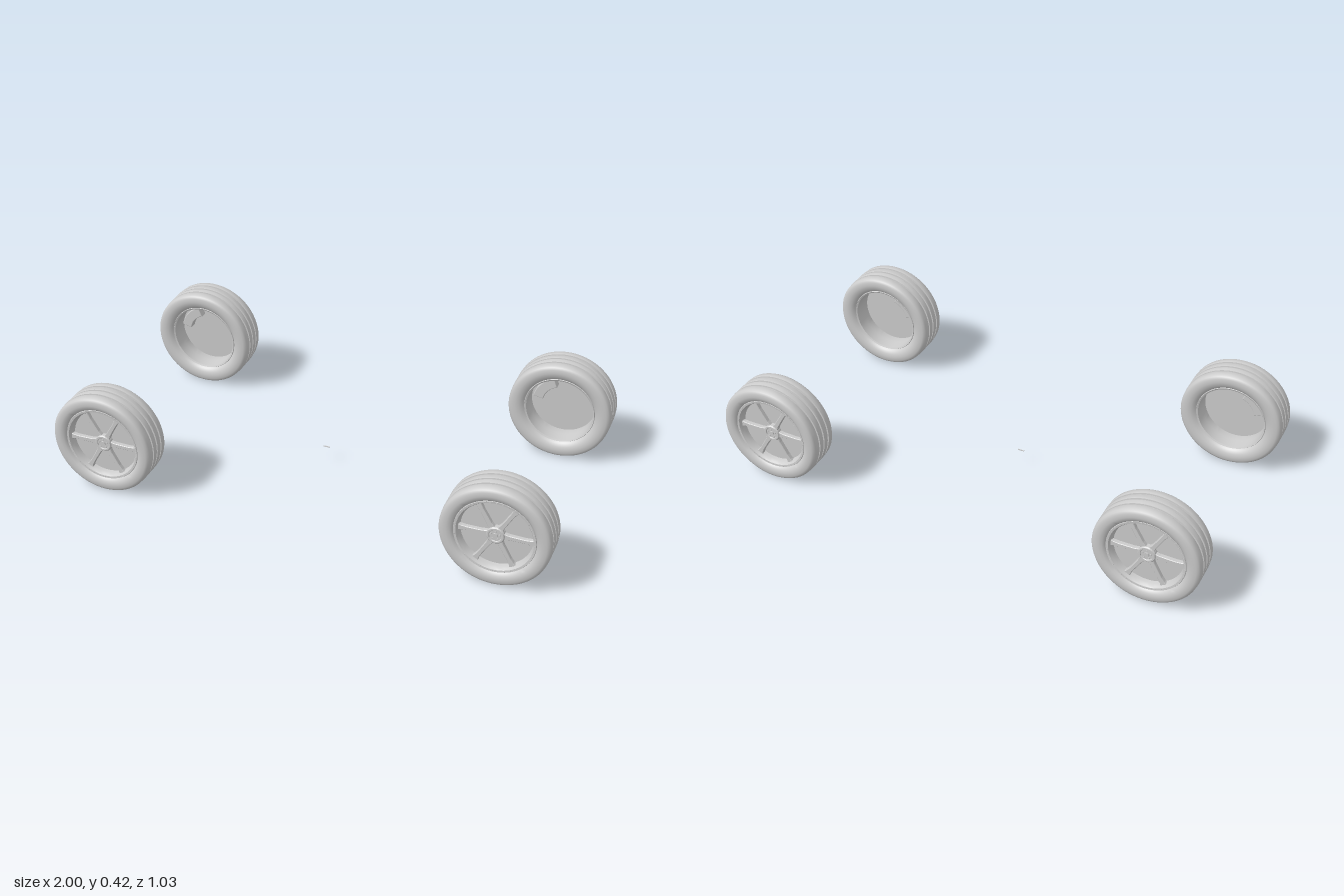
import * as THREE from 'three';
import { toCreasedNormals } from 'three/addons/utils/BufferGeometryUtils.js';

const material = new THREE.MeshStandardMaterial({ color: 0xcccccc });
const RADIUS = 0.21;

function part(name, geometry, parent) {
  const mesh = new THREE.Mesh(geometry, material);
  mesh.name = name;
  parent.add(mesh);
  return mesh;
}

// Revolve a [radius, z] profile round the wheel's z axis
function ring(points, crease = 0.6) {
  const lathe = new THREE.LatheGeometry(points.map(([r, z]) => new THREE.Vector2(r, z)), 80);
  lathe.rotateX(Math.PI / 2);
  return toCreasedNormals(lathe, crease);
}

function disc(radius, depth, segments = 48) {
  return new THREE.CylinderGeometry(radius, radius, depth, segments).rotateX(Math.PI / 2);
}

function tyreGeometry() {
  const profile = [[0.142, -0.05], [0.15, -0.061], [0.163, -0.069], [0.178, -0.072], [0.194, -0.071], [0.203, -0.067], [0.208, -0.06]];
  // Tread with three grooves
  for (const z of [-0.031, 0, 0.031]) {
    profile.push([RADIUS, z - 0.008], [0.2085, z - 0.004], [0.203, z - 0.003], [0.203, z + 0.003], [0.2085, z + 0.004], [RADIUS, z + 0.008]);
  }
  profile.push([0.208, 0.06], [0.203, 0.067], [0.194, 0.071], [0.178, 0.072], [0.165, 0.069], [0.156, 0.062], [0.152, 0.05], [0.142, 0.045], [0.142, -0.05]);
  return ring(profile);
}

// Slender spoke lying along +x, wider at both ends
function spokeGeometry() {
  const half = [[0.025, 0.012], [0.05, 0.007], [0.11, 0.006], [0.13, 0.008], [0.146, 0.013]];
  const outline = [...half, ...half.map(([x, y]) => [x, -y]).reverse()];
  const shape = new THREE.Shape(outline.map(([x, y]) => new THREE.Vector2(x, y)));
  return new THREE.ExtrudeGeometry(shape, { depth: 0.014, bevelEnabled: true, bevelSize: 0.002, bevelThickness: 0.002, bevelSegments: 1 });
}

// Curved caliper block, centred on +x
function caliperGeometry() {
  const a = 0.5;
  const shape = new THREE.Shape();
  shape.absarc(0, 0, 0.12, -a, a, false);
  shape.absarc(0, 0, 0.084, a, -a, true);
  return new THREE.ExtrudeGeometry(shape, { depth: 0.03, bevelEnabled: true, bevelSize: 0.003, bevelThickness: 0.003, bevelSegments: 2 });
}

const tyre = tyreGeometry();
const barrel = ring([[0.137, -0.054], [0.143, -0.057], [0.146, -0.052], [0.146, 0.05], [0.155, 0.057], [0.153, 0.061], [0.145, 0.06], [0.141, 0.054], [0.138, 0.04], [0.133, 0.02], [0.135, -0.01], [0.137, -0.054]]);
const spoke = spokeGeometry();
const caliper = caliperGeometry();

// Wheel with its outer face towards +z
function createWheel(caliperAngle) {
  const wheel = new THREE.Group();
  part('tyre', tyre, wheel);
  part('rim', barrel, wheel);
  part('brakeDisc', disc(0.137, 0.008, 64), wheel).position.z = 0.026;

  for (let i = 0; i < 6; i++) {
    const arm = part('spoke', spoke, wheel);
    arm.position.z = 0.032;
    arm.rotation.z = i * Math.PI / 3;
  }

  // Hub, centre cap and wheel nuts
  part('hub', ring([[0, 0.028], [0.035, 0.028], [0.035, 0.048], [0.031, 0.052], [0.025, 0.052], [0.023, 0.049], [0, 0.049]]), wheel);
  part('centreCap', disc(0.01, 0.008, 24), wheel).position.z = 0.05;
  for (let i = 0; i < 5; i++) {
    const t = Math.PI / 2 + i * Math.PI * 2 / 5;
    part('wheelNut', disc(0.0035, 0.006, 6), wheel).position.set(0.017 * Math.cos(t), 0.017 * Math.sin(t), 0.05);
  }

  // Small studs round the rim flange
  const stud = disc(0.0018, 0.004, 6);
  for (let i = 0; i < 40; i++) {
    const t = i * Math.PI / 20;
    part('rimStud', stud, wheel).position.set(0.149 * Math.cos(t), 0.149 * Math.sin(t), 0.061);
  }

  const block = part('brakeCaliper', caliper, wheel);
  block.rotation.z = caliperAngle;
  block.position.z = -0.009;
  return wheel;
}

export function createModel() {
  const model = new THREE.Group();
  model.name = 'wheelSet';
  for (const front of [true, false]) {
    for (const side of [1, -1]) {
      // Calipers all sit on the -x side, so the turned wheels mirror the angle
      const angle = THREE.MathUtils.degToRad(140);
      const wheel = createWheel(front ? angle : Math.PI - angle);
      wheel.name = (front ? 'front' : 'back') + (side > 0 ? 'Left' : 'Right') + 'Wheel';
      wheel.position.set(side * 0.79, RADIUS, front ? 0.444 : -0.444);
      if (!front) wheel.rotation.y = Math.PI;
      model.add(wheel);
    }
  }
  // Tiny loose bar between the wheels
  part('smallBar', new THREE.BoxGeometry(0.026, 0.003, 0.004), model).position.set(-0.057, 0.07, 0);
  return model;
}
